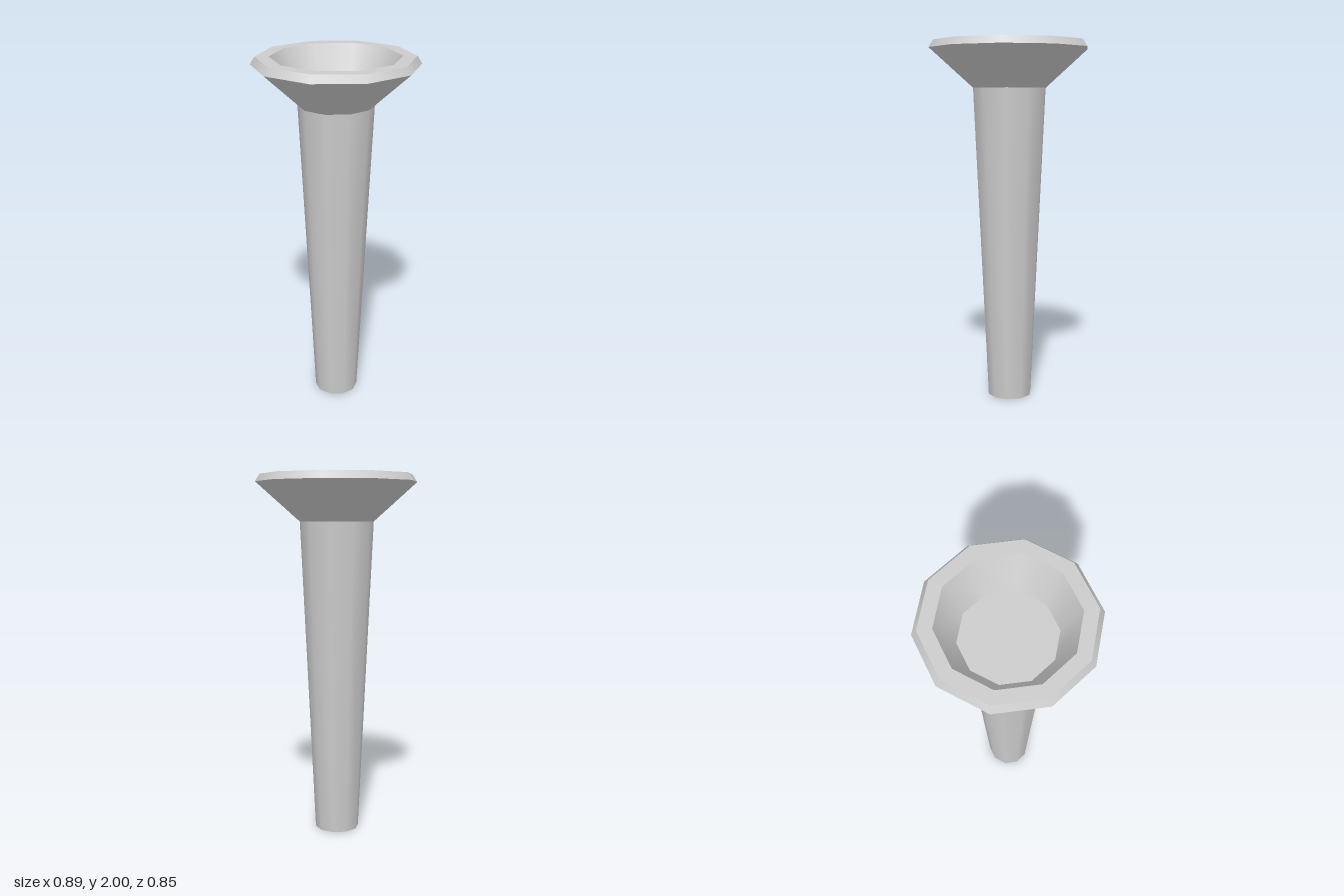
import * as THREE from 'three';
import { mergeGeometries } from 'three/addons/utils/BufferGeometryUtils.js';

const SIDES = 10;

// Turn a profile of [radius, y] points; each band is smooth around, with a hard edge between bands
function turned(name, profile, material) {
  const bands = [];
  for (let i = 0; i < profile.length - 1; i++) {
    const pair = [profile[i], profile[i + 1]].map(([r, y]) => new THREE.Vector2(r, y));
    bands.push(new THREE.LatheGeometry(pair, SIDES, Math.PI / 2));
  }
  const mesh = new THREE.Mesh(mergeGeometries(bands), material);
  mesh.name = name;
  return mesh;
}

export function createModel() {
  const group = new THREE.Group();
  group.name = 'flaredTorch';
  const material = new THREE.MeshStandardMaterial({ color: 0xcccccc });

  // Tapered handle with a closed foot
  group.add(turned('handle', [[0, 0], [0.123, 0], [0.205, 1.745]], material));

  // Flared cup: outer cone, bevelled lip, flat rim, inner wall and floor
  group.add(turned('cup', [
    [0.205, 1.745], [0.447, 1.96], [0.421, 2], [0.347, 2], [0.249, 1.81], [0, 1.81],
  ], material));

  return group;
}
